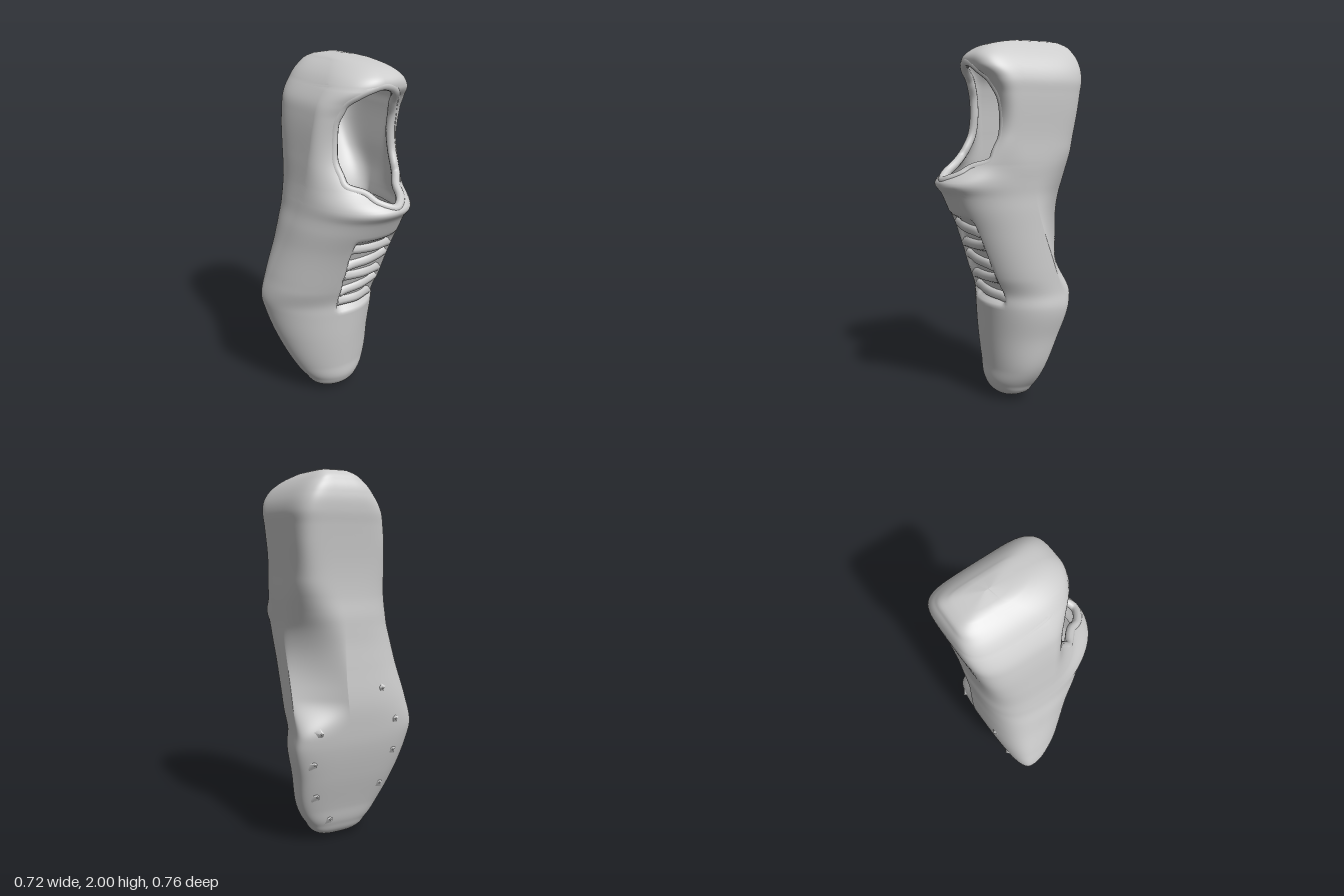
import * as THREE from 'three';
import { mergeVertices } from 'three/addons/utils/BufferGeometryUtils.js';

const { smoothstep, lerp } = THREE.MathUtils;

// Sections from toe (y = 0) to heel (y = 2):
// y, right edge x, left edge x, sole z, instep z, z of the widest point
const SECTIONS = [
  [0, 0.02, 0.02, -0.08, -0.06, -0.07],
  [0.03, -0.09, 0.13, -0.14, 0.0, -0.08],
  [0.1, -0.16, 0.2, -0.185, 0.05, -0.1],
  [0.2, -0.22, 0.26, -0.215, 0.06, -0.13],
  [0.4, -0.3, 0.305, -0.28, 0.08, -0.19],
  [0.57, -0.345, 0.34, -0.325, 0.095, -0.23],
  [0.66, -0.36, 0.33, -0.34, 0.105, -0.24],
  [0.8, -0.335, 0.325, -0.355, 0.155, -0.2],
  [1.0, -0.285, 0.32, -0.35, 0.235, -0.13],
  [1.12, -0.26, 0.32, -0.345, 0.295, -0.09],
  [1.2, -0.24, 0.32, -0.345, 0.335, -0.07],
  [1.26, -0.23, 0.325, -0.345, 0.375, -0.06],
  [1.36, -0.215, 0.335, -0.34, 0.26, -0.04],
  [1.5, -0.2, 0.34, -0.345, 0.15, -0.02],
  [1.72, -0.17, 0.355, -0.37, 0.145, 0],
  [1.79, -0.15, 0.355, -0.38, 0.18, 0],
  [1.86, -0.105, 0.33, -0.38, 0.228, 0],
  [1.93, -0.045, 0.275, -0.36, 0.2, -0.03],
  [1.975, 0.02, 0.215, -0.32, 0.09, -0.09],
  [1.993, 0.06, 0.175, -0.25, -0.03, -0.13],
  [2, 0.12, 0.12, -0.16, -0.13, -0.14],
];
// Half width of the foot opening: y, w
const OPENING = [
  [1.275, 0], [1.295, 0.08], [1.345, 0.12], [1.375, 0.195], [1.5, 0.21], [1.7, 0.2], [1.8, 0.165], [1.86, 0.1], [1.88, 0],
];
const LOW = 1.275, HIGH = 1.88;

function table(rows, Interpolant) {
  const it = new Interpolant(rows.map(r => r[0]), rows.flatMap(r => r.slice(1)), rows[0].length - 1);
  return y => [...it.evaluate(y)];
}
const sectionAt = table(SECTIONS, THREE.CubicInterpolant);
const openingAt = table(OPENING, THREE.LinearInterpolant);
const halfOpening = y => (y <= LOW || y >= HIGH ? 0 : openingAt(y)[0]);
const middleX = y => 0.02 + 0.07 * smoothstep(y, 0.3, 1) + 0.03 * smoothstep(y, 1.8, 2);

// Roundness of each quarter of a section: 1 is elliptic, less is boxier
function frontPower(y, side) {
  if (side < 0) return lerp(1.1, 1, smoothstep(y, 0.62, 0.75));
  const throat = lerp(1, 0.85, smoothstep(y, 0.62, 0.75));
  return lerp(throat, 0.48, smoothstep(y, 1.3, 1.5));
}
function solePower(y, side) {
  const heel = smoothstep(y, 1.2, 1.65);
  if (side < 0) return lerp(0.62, 0.42, heel);
  const arch = smoothstep(y, 0.64, 0.83) * (1 - smoothstep(y, 0.9, 1.45));
  return lerp(lerp(0.6, 0.34, heel), 1.9, arch);
}

// Shallow well under the laces
function recess(x, y) {
  const across = smoothstep(x, -0.085, -0.05) * (1 - smoothstep(x, 0.175, 0.21));
  return 0.045 * across * smoothstep(y, 0.58, 0.63) * (1 - smoothstep(y, 1.04, 1.1));
}

// Half width of a section on one side (+1 left, -1 right)
function halfWidth(y, side) {
  const [xr, xl] = sectionAt(y), xc = middleX(y);
  return side > 0 ? xl - xc : xc - xr;
}

// Point on the shell; phi runs from the instep round by the left side and the sole.
// inset shrinks the section, lift raises its sole side
function shellPoint(y, phi, inset = 0, lift = 0) {
  const [, , zSole, zTop, zw] = sectionAt(y);
  const s = Math.sin(phi), c = Math.cos(phi), side = s > 0 ? 1 : -1;
  const a = Math.max(0, halfWidth(y, side) - inset);
  const h = Math.max(0, (c > 0 ? zTop - zw : zw - zSole - lift) - inset);
  const p = c > 0 ? frontPower(y, side) : solePower(y, side);
  const x = middleX(y) + side * a * Math.abs(s) ** p;
  const z = zw + Math.sign(c) * h * Math.abs(c) ** p;
  return new THREE.Vector3(x, y, c > 0 ? z - recess(x, y) : z);
}

// Angle on the instep at a distance d from the middle
function angleAt(y, d, side) {
  return side * Math.asin(Math.min(1, d / halfWidth(y, side)) ** (1 / frontPower(y, side)));
}
function edgeAngle(y, side) {
  const w = halfOpening(y);
  return w > 0 ? angleAt(y, w, side) : 0;
}

// Skin through the sections, left open where the foot goes in
function shell(y0, y1, inset, lift) {
  const rows = 170, cols = 120, pos = [], index = [];
  for (let i = 0; i <= rows; i++) {
    const t = i / rows;
    const y = lerp(y0, y1, 0.6 * t + 0.2 * (1 - Math.cos(Math.PI * t)));
    const from = edgeAngle(y, 1), to = 2 * Math.PI + edgeAngle(y, -1);
    for (let j = 0; j <= cols; j++) {
      pos.push(...shellPoint(y, lerp(from, to, j / cols), inset, lift(y)).toArray());
      if (i < rows && j < cols) {
        const k = i * (cols + 1) + j, n = k + cols + 1;
        index.push(k, k + 1, n, k + 1, n + 1, n);
      }
    }
  }
  const geo = new THREE.BufferGeometry();
  geo.setAttribute('position', new THREE.Float32BufferAttribute(pos, 3));
  geo.setIndex(index);
  const merged = mergeVertices(geo, 1e-5);
  merged.computeVertexNormals();
  return merged;
}

export function createModel() {
  const shoe = new THREE.Group();
  shoe.name = 'shoe';
  const solid = new THREE.MeshStandardMaterial({ color: 0xcccccc });
  const thin = new THREE.MeshStandardMaterial({ color: 0xcccccc, side: THREE.DoubleSide });
  const add = (name, geo, mat = solid) => {
    const mesh = new THREE.Mesh(geo, mat);
    mesh.name = name;
    shoe.add(mesh);
    return mesh;
  };

  add('upperAndSole', shell(0, 2, 0, () => 0), thin);
  // Lining, its floor rising toward the instep
  add('lining', shell(1.2, 1.95, 0.04, y => 0.15 * (1 - smoothstep(y, 1.2, 1.6))), thin);

  // Padded collar round the opening, sunk level with the upper
  const edgeYs = [1.285, 1.31, 1.345, 1.38, 1.43, 1.5, 1.6, 1.7, 1.76, 1.8, 1.84, 1.865];
  const rimPoint = (y, side) => shellPoint(y, edgeAngle(y, side), 0.022);
  const rim = [
    rimPoint(LOW, 1), ...edgeYs.map(y => rimPoint(y, 1)),
    rimPoint(HIGH, 1), ...edgeYs.slice().reverse().map(y => rimPoint(y, -1)),
  ];
  add('collar', new THREE.TubeGeometry(new THREE.CatmullRomCurve3(rim, true), 140, 0.024, 10, true));

  // Laces lying in the well, slightly slanted
  for (let i = 0; i < 5; i++) {
    const y = 0.645 + i * 0.093;
    const points = [-0.075, -0.03, 0.065, 0.16, 0.2].map((x, k) => {
      const py = y + (i % 2 ? 0.015 : -0.015) * (k - 2) / 2;
      const d = x - middleX(py);
      const p = shellPoint(py, angleAt(py, Math.abs(d), Math.sign(d)));
      p.z -= k % 4 ? 0.005 : 0.03;
      return p;
    });
    add('lace', new THREE.TubeGeometry(new THREE.CatmullRomCurve3(points), 20, 0.034, 8));
  }

  // Low studs under the forefoot and waist
  const studs = [[0.14, 2.9], [0.3, 2.55], [0.32, 3.7], [0.5, 2.5], [0.52, 3.75], [0.67, 2.6], [0.7, 3.7], [0.88, 3.5]];
  for (const [y, phi] of studs) {
    const stud = add('stud', new THREE.ConeGeometry(0.04, 0.03, 5));
    stud.position.copy(shellPoint(y, phi));
    stud.rotation.x = -Math.PI / 2;
  }
  return shoe;
}
